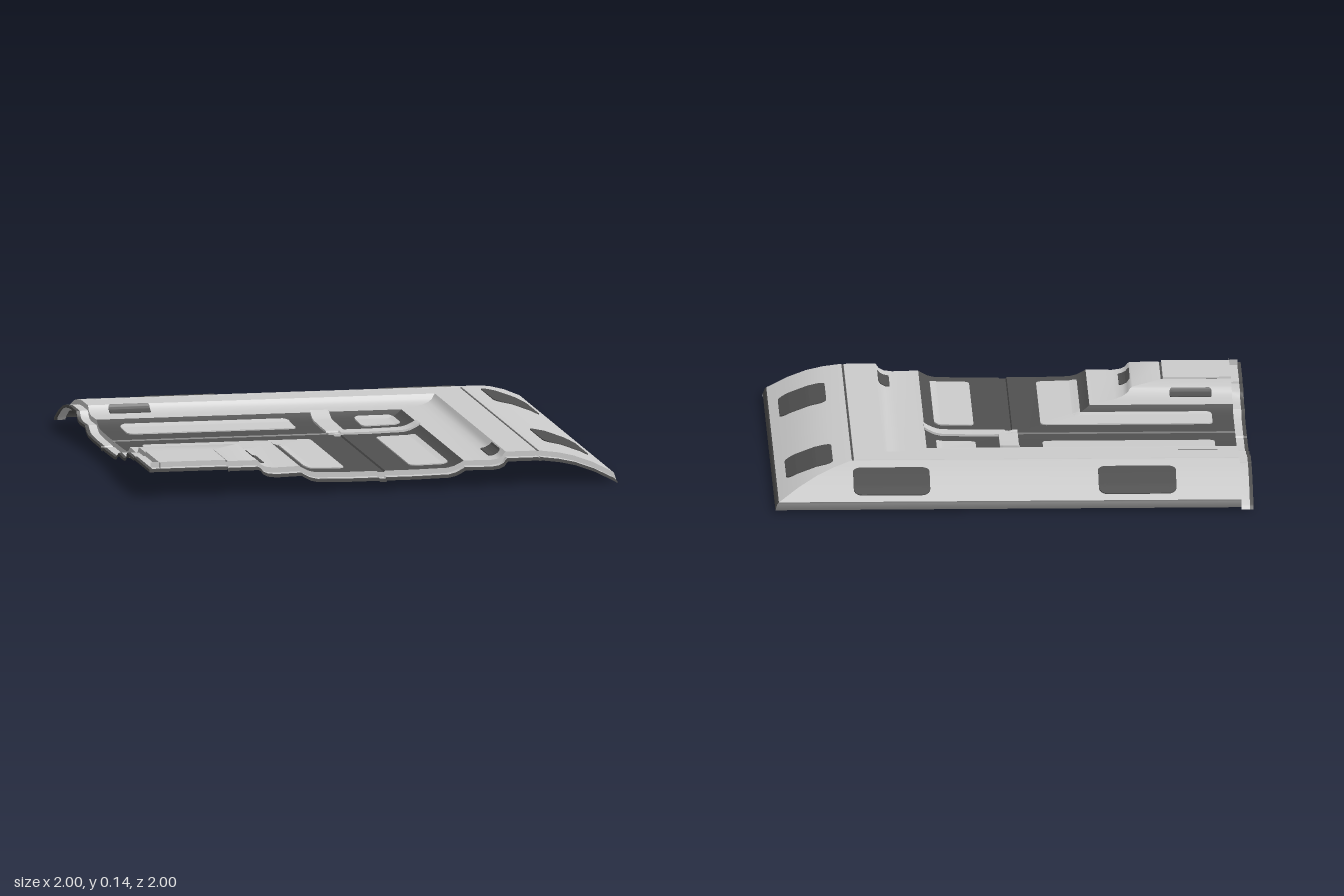
import * as THREE from 'three';
import { toCreasedNormals } from 'three/addons/utils/BufferGeometryUtils.js';

const mat = (name, color) => {
  const m = new THREE.MeshStandardMaterial({ color, side: THREE.DoubleSide });
  m.name = name;
  return m;
};

// Cross-section of the corner tile: d is the distance from the inner corner (-1, +1)
const SECTIONS = [
  ['innerBlockCap', 'light', [[0.05, 0.145], [0.334, 0.145], [0.335, 0.137]]],
  ['innerBlockSeam', 'dark', [[0.335, 0.137], [0.343, 0.137]]],
  ['innerLedge', 'light', [[0.343, 0.137], [0.344, 0.139], [0.465, 0.139], [0.475, 0.134], [0.485, 0.12],
    [0.505, 0.11], [0.54, 0.105], [0.65, 0.108]]],
  ['innerFloor', 'dark', [[0.65, 0.108], [0.66, 0.101], [0.69, 0.086], [0.72, 0.079], [0.86, 0.076],
    [0.98, 0.076], [0.985, 0.07], [1.01, 0.07], [1.015, 0.076], [1.14, 0.076], [1.28, 0.079],
    [1.31, 0.086], [1.34, 0.101], [1.35, 0.108]]],
  ['outerLedge', 'light', [[1.35, 0.108], [1.46, 0.105], [1.495, 0.11], [1.515, 0.12], [1.525, 0.134],
    [1.53, 0.139], [1.662, 0.139], [1.663, 0.136]]],
  ['outerSeam', 'dark', [[1.663, 0.136], [1.671, 0.136]]],
  ['outerSlope', 'light', [[1.671, 0.136], [1.672, 0.139], [1.75, 0.129], [1.82, 0.113], [1.9, 0.083], [1.985, 0.04]]],
  ['outerRim', 'dark', [[1.985, 0.04], [1.992, 0.034], [2, 0.01]]],
];
const PROFILE = SECTIONS.flatMap((s) => s[2]);

// Surface height at any point, mitred along the diagonal
function heightAt(x, z) {
  const d = Math.max(x + 1, 1 - z);
  for (let i = 1; i < PROFILE.length; i++) {
    const [a, ya] = PROFILE[i - 1], [b, yb] = PROFILE[i];
    if (d <= b && b > a) return ya + (yb - ya) * Math.max(0, (d - a) / (b - a));
  }
  return 0.01;
}

// Surface through rows of points
function loft(rows, crease = 0.6) {
  const pos = [];
  for (let i = 1; i < rows.length; i++) {
    for (let j = 1; j < rows[i].length; j++) {
      const a = rows[i - 1][j - 1], b = rows[i][j - 1], c = rows[i][j], d = rows[i - 1][j];
      pos.push(...a, ...b, ...c, ...a, ...c, ...d);
    }
  }
  const g = new THREE.BufferGeometry();
  g.setAttribute('position', new THREE.Float32BufferAttribute(pos, 3));
  return toCreasedNormals(g, crease);
}

// Rounded plate that follows the surface, standing out on both sides
function drapedPlate(x0, x1, z0, z1, r, lift) {
  const us = [];
  for (let i = 0; i <= 5; i++) {
    const t = r * (1 - Math.cos((i / 5) * Math.PI / 2));
    us.push(x0 + t, x1 - t);
  }
  for (let i = 1; i < 24; i++) us.push(x0 + r + (x1 - x0 - 2 * r) * i / 24);
  us.sort((a, b) => a - b);
  const row = (x, k) => {
    const t = Math.min(r, x - x0, x1 - x);
    const inset = r - Math.sqrt(Math.max(0, r * r - (r - t) * (r - t)));
    const top = [], bottom = [];
    for (let j = 0; j <= 24; j++) {
      const z = z0 + inset + (z1 - z0 - 2 * inset) * j / 24, y = heightAt(x, z);
      top.push([x, y + k, z]);
      bottom.unshift([x, y - k, z]);
    }
    return [...bottom, ...top, bottom[0]].reverse();
  };
  const rows = us.map((x) => row(x, lift));
  return loft([row(x0, 0), ...rows, row(x1, 0)]);
}

export function createModel() {
  const root = new THREE.Group();
  root.name = 'cornerTile';
  const mats = { light: mat('lightPanel', 0xcccccc), dark: mat('darkPanel', 0x505050) };
  const add = (name, material, geometry) => {
    const m = new THREE.Mesh(geometry, mats[material]);
    m.name = name;
    root.add(m);
  };

  // Main shell: two mitred legs for each section
  for (const [name, material, pts] of SECTIONS) {
    add(name + 'Back', material, loft(pts.map(([d, y]) => [[-0.95, y, 1 - d], [-1 + d, y, 1 - d]].reverse())));
    add(name + 'Side', material, loft(pts.map(([d, y]) => [[-1 + d, y, 0.95], [-1 + d, y, 1 - d]])));
  }

  // Lowered joining lip along the two open ends, with a dark border
  const drop = 0.022;
  const lips = [
    ['joiningLip', 'light', 0.015, [[0.05, 0], [0.05, -drop], [0.015, -drop]]],
    ['lipBorder', 'dark', 0, [[0.015, -drop], [0, -drop], [0, -drop - 0.012]]],
  ];
  for (const [name, material, start, stations] of lips) {
    const pts = [[start, 0.145], ...PROFILE];
    const rows = (place) => pts.map(([d, y]) => stations.map(([s, dy]) => place(d, Math.max(0, y + dy), s)));
    add(name + 'Left', material, loft(rows((d, y, s) => [-1 + s, y, 1 - d])));
    add(name + 'Front', material, loft(rows((d, y, s) => [-1 + d, y, 1 - s]).map((r) => r.reverse())));
  }

  // Plates: x0, x1, z0, z1, corner radius, lift
  const plates = [
    ['backFloorPanel', 'light', -0.86, -0.14, -0.315, -0.14, 0.025, 0.005],
    ['cornerFloorPanel', 'light', 0.14, 0.305, -0.315, -0.14, 0.02, 0.005],
    ['sideFloorPanel', 'light', 0.14, 0.305, 0.14, 0.86, 0.025, 0.005],
    ['bentFloorPanelA', 'light', -0.86, -0.14, 0.14, 0.305, 0.025, 0.005],
    ['bentFloorPanelB', 'light', -0.31, -0.14, 0.14, 0.86, 0.025, 0.005],
    ['cornerFrameA', 'light', -0.04, 0.04, -0.352, 0.04, 0.002, 0.009],
    ['cornerFrameB', 'light', -0.04, 0.352, -0.04, 0.04, 0.002, 0.009],
    ['backPadA', 'dark', -0.68, -0.355, -0.95, -0.76, 0.035, 0.004],
    ['backPadB', 'dark', 0.35, 0.67, -0.95, -0.76, 0.035, 0.004],
    ['sidePadA', 'dark', 0.75, 0.945, -0.675, -0.355, 0.035, 0.004],
    ['sidePadB', 'dark', 0.75, 0.945, 0.35, 0.675, 0.035, 0.004],
    ['outerVentBack', 'dark', -0.865, -0.69, -0.528, -0.482, 0.01, 0.004],
    ['outerVentSide', 'dark', 0.476, 0.524, 0.68, 0.86, 0.01, 0.004],
    ['innerVentBack', 'dark', -0.865, -0.69, 0.475, 0.524, 0.01, 0.004],
    ['innerVentSide', 'dark', -0.528, -0.482, 0.68, 0.86, 0.01, 0.004],
  ];
  for (const [name, material, ...p] of plates) add(name, material, drapedPlate(...p));

  return root;
}
